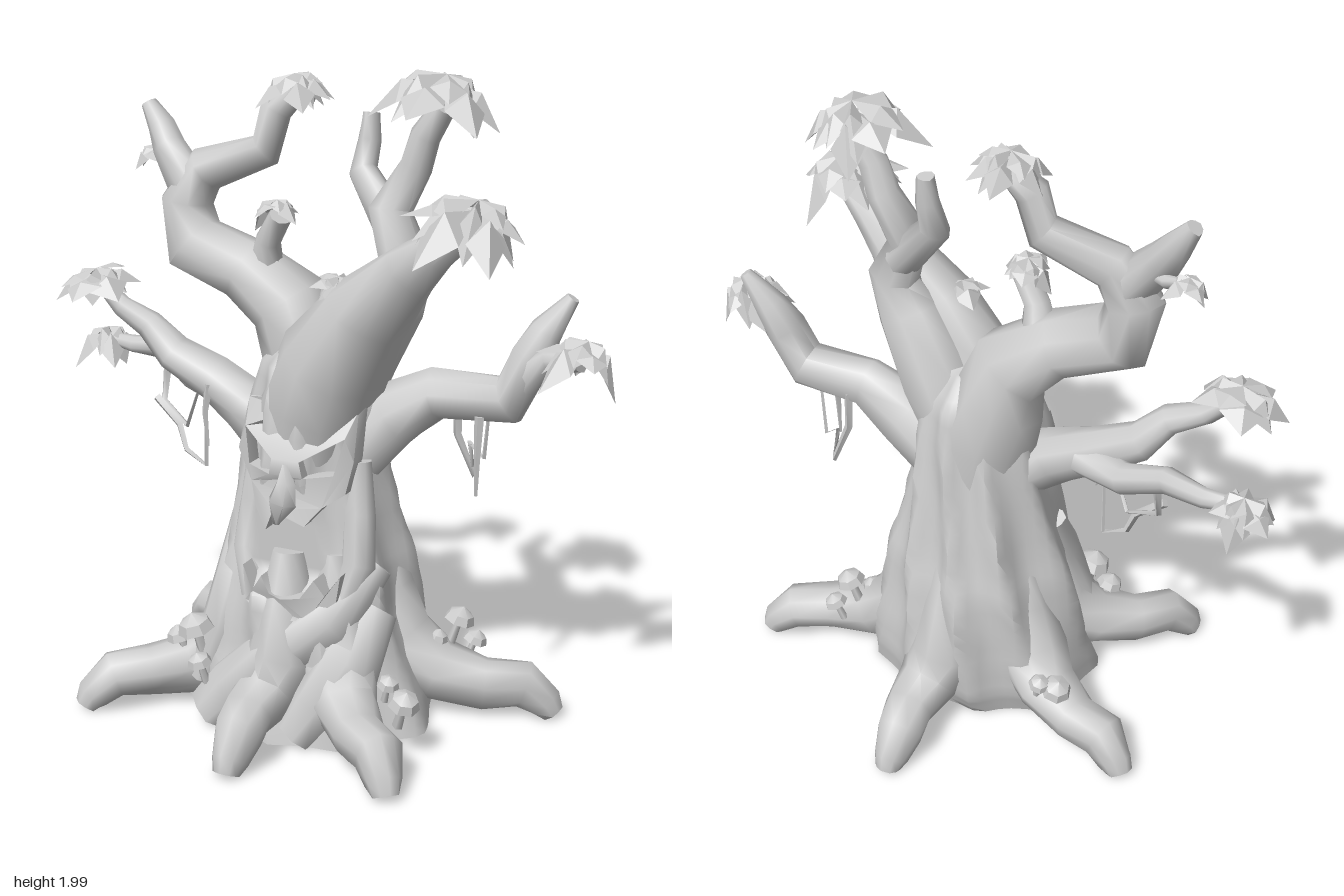
import * as THREE from 'three';
import { toCreasedNormals } from 'three/addons/utils/BufferGeometryUtils.js';

const material = new THREE.MeshStandardMaterial({ color: 0xcccccc });
const thin = new THREE.MeshStandardMaterial({ color: 0xcccccc, side: THREE.DoubleSide });
const V = (x, y, z) => new THREE.Vector3(x, y, z);

function mesh(name, geometry, parent, mat = material) {
  const m = new THREE.Mesh(geometry, mat);
  m.name = name;
  parent.add(m);
  return m;
}

// Closed skin over rings of points, with fan caps at both ends
function loft(rings) {
  const n = rings[0].length, pos = [], idx = [];
  rings.forEach(r => r.forEach(p => pos.push(p.x, p.y, p.z)));
  for (let i = 0; i < rings.length - 1; i++) {
    for (let j = 0; j < n; j++) {
      const a = i * n + j, b = i * n + (j + 1) % n;
      idx.push(a, b, a + n, b, b + n, a + n);
    }
  }
  [0, rings.length - 1].forEach((k, end) => {
    const c = rings[k].reduce((s, p) => s.add(p), V(0, 0, 0)).divideScalar(n);
    const ci = pos.length / 3;
    pos.push(c.x, c.y, c.z);
    for (let j = 0; j < n; j++) {
      const a = k * n + j, b = k * n + (j + 1) % n;
      end ? idx.push(ci, a, b) : idx.push(ci, b, a);
    }
  });
  const g = new THREE.BufferGeometry();
  g.setAttribute('position', new THREE.Float32BufferAttribute(pos, 3));
  g.setIndex(idx);
  return toCreasedNormals(g, 1.15);
}

// Gnarled tapering limb through [x, y, z, radius] points
function limb(points, sides = 9, ref = V(0, 0, 1)) {
  const c = points.map(p => V(p[0], p[1], p[2]));
  return loft(points.map((p, i) => {
    const t = c[Math.min(i + 1, c.length - 1)].clone().sub(c[Math.max(i - 1, 0)]).normalize();
    const u = ref.clone().cross(t).normalize(), v = t.clone().cross(u);
    return Array.from({ length: sides }, (_, j) => {
      const a = j / sides * Math.PI * 2, r = p[3] * (1 + 0.08 * Math.sin(3 * a + i * 1.3));
      const q = c[i].clone().addScaledVector(u, r * Math.cos(a)).addScaledVector(v, r * Math.sin(a));
      q.y = Math.max(q.y, 0.01);
      return q;
    });
  }));
}

// Trunk rows: y, left x, right x, back z, front z
const rows = [
  [0.01, -0.38, 0.40, -0.27, 0.36], [0.1, -0.37, 0.38, -0.31, 0.35], [0.22, -0.35, 0.35, -0.32, 0.32],
  [0.35, -0.335, 0.315, -0.315, 0.31], [0.5, -0.31, 0.30, -0.305, 0.285], [0.6, -0.28, 0.27, -0.28, 0.26],
  [0.8, -0.235, 0.225, -0.245, 0.23], [1.0, -0.20, 0.21, -0.21, 0.21], [1.13, -0.17, 0.18, -0.18, 0.17],
  [1.22, -0.09, 0.1, -0.11, 0.08],
];
function trunk() {
  const rings = [], sides = 54, step = 3;
  for (let k = 0; k <= (rows.length - 1) * step; k++) {
    const i = Math.min(Math.floor(k / step), rows.length - 2), f = k / step - i;
    const [y, x0, x1, z0, z1] = rows[i].map((v, c) => v + (rows[i + 1][c] - v) * f);
    rings.push(Array.from({ length: sides }, (_, j) => {
      const a = j / sides * Math.PI * 2;
      // Twisting bark ridges, strongest at mid height
      const ridge = 1.06 - (0.1 + 0.08 * Math.sin(2.6 * y)) * Math.abs(Math.sin(4.5 * a + 2.4 * y + 0.5 * Math.sin(2 * a)))
        + 0.02 * Math.sin(5 * a - 6 * y);
      const x = (x0 + x1) / 2 + (x1 - x0) / 2 * Math.sin(a) * ridge;
      let z = (z0 + z1) / 2 + (z1 - z0) / 2 * Math.cos(a) * ridge;
      // Hollow of the mouth
      if (z > 0 && y > 0.48 && y < 0.76 && Math.abs(x - 0.02) < 0.16) z = Math.min(z, 0.2);
      return V(x, y, z);
    }));
  }
  return loft(rings);
}

// Flat cut-out bent around the front of the trunk
function bentPlate(outline, holes, depth, zAt) {
  const toPts = list => list.map(p => new THREE.Vector2(p[0], p[1]));
  const shape = new THREE.Shape(toPts(outline));
  holes.forEach(h => shape.holes.push(new THREE.Path(toPts(h))));
  const g = new THREE.ExtrudeGeometry(shape, { depth, bevelEnabled: false, steps: 1 });
  const p = g.attributes.position;
  for (let i = 0; i < p.count; i++) p.setZ(i, p.getZ(i) + zAt(p.getX(i), p.getY(i)));
  return toCreasedNormals(g, 0.8);
}

// Drooping, slightly tilted cluster of broad folded leaves
function crown(parent, x, y, z, r, h, n, seed) {
  const pos = [];
  for (let layer = 0; layer < 2; layer++) {
    for (let i = 0; i < n; i++) {
      const a = (i + layer * 0.5) / n * Math.PI * 2 + seed + 0.25 * Math.sin(i * 5 + seed);
      const len = r * (layer ? 0.8 : 1) * (0.92 + 0.15 * Math.sin(i * 7 + seed));
      const top = h * (layer ? 0.35 : 0.2), w = Math.PI / n * 1.1;
      const drop = h * (0.55 + 0.3 * Math.sin(i * 3 + seed + layer));
      const at = (d, b, yy) => [Math.cos(b) * d * len, yy, Math.sin(b) * d * len];
      const root = [0, top, 0], ridge = at(0.6, a, top * 0.9), tip = at(1, a, top - drop);
      const l = at(0.68, a + w, top - drop * 0.5), q = at(0.68, a - w, top - drop * 0.5);
      pos.push(...root, ...l, ...ridge, ...root, ...ridge, ...q, ...ridge, ...l, ...tip, ...ridge, ...tip, ...q);
    }
  }
  const g = new THREE.BufferGeometry();
  g.setAttribute('position', new THREE.Float32BufferAttribute(pos, 3));
  g.computeVertexNormals();
  const m = mesh('leafCluster', g, parent, thin);
  m.position.set(x, y, z);
  m.rotation.set(0.15 * Math.sin(seed * 2), 0, -0.15 * Math.sign(x));
}

function mushroom(parent, x, y, z, r) {
  const g = new THREE.Group();
  g.name = 'mushroom';
  mesh('mushroomStem', new THREE.CylinderGeometry(r * 0.25, r * 0.35, r * 2, 5), g).position.y = -r * 0.9;
  const profile = [[0, 0], [1, -0.15], [0.8, 0.4], [0, 0.85]].map(p => new THREE.Vector2(p[0] * r, p[1] * r));
  mesh('mushroomCap', toCreasedNormals(new THREE.LatheGeometry(profile, 7), 0.6), g);
  g.position.set(x, y, z);
  g.rotation.set(z * 0.7, 0, -x * 0.7);
  parent.add(g);
}

export function createModel() {
  const tree = new THREE.Group();
  tree.name = 'hauntedTree';
  mesh('trunk', trunk(), tree);

  // Roots running down the trunk and out along the ground: tip x, tip z
  [[-0.62, 0.41], [-0.01, 0.6], [0.46, 0.51], [0.73, -0.18], [0.06, -0.61], [-0.62, -0.32]].forEach(([x, z]) => {
    const l = Math.hypot(x, z), side = V(-z / l, 0, x / l);
    const at = (d, y, r, s = 0) => [x / l * d + side.x * s, y, z / l * d + side.z * s, r];
    mesh('root', limb([at(0.2, 0.58, 0.05), at(0.21, 0.42, 0.09), at(0.25, 0.24, 0.12), at(0.52 * l, 0.14, 0.1, 0.02),
      at(0.72 * l, 0.115, 0.08, 0.025), at(0.88 * l, 0.115, 0.075), at(0.97 * l, 0.055, 0.055), at(l, 0.02, 0.04)], 9, side), tree);
  });

  // Twisted roots winding down the front
  [[[0.25, 0.54, 0.1, 0.05], [0.14, 0.38, 0.21, 0.09], [-0.02, 0.25, 0.25, 0.1], [-0.15, 0.12, 0.27, 0.1], [-0.23, 0.03, 0.29, 0.08]],
    [[0.25, 0.4, 0.11, 0.07], [0.2, 0.25, 0.21, 0.1], [0.13, 0.12, 0.27, 0.1], [0.07, 0.03, 0.31, 0.08]],
    [[-0.22, 0.64, 0.06, 0.04], [-0.21, 0.45, 0.15, 0.07], [-0.24, 0.28, 0.19, 0.08], [-0.3, 0.12, 0.21, 0.08]],
  ].forEach(pts => mesh('twistedRoot', limb(pts), tree));

  // Branches as [x, y, z, radius]
  const branches = {
    rightMainBranch: [[-0.01, 0.8, -0.06, 0.13], [-0.04, 1.0, -0.06, 0.15], [-0.08, 1.14, -0.05, 0.14], [-0.13, 1.28, -0.05, 0.125],
      [-0.27, 1.38, -0.05, 0.1], [-0.45, 1.45, -0.05, 0.105], [-0.48, 1.58, -0.05, 0.085], [-0.42, 1.68, -0.06, 0.07],
      [-0.22, 1.75, -0.08, 0.055], [-0.19, 1.87, -0.1, 0.05], [-0.12, 1.92, -0.1, 0.035]],
    rightUpperTwig: [[-0.46, 1.62, -0.05, 0.07], [-0.56, 1.74, -0.08, 0.055], [-0.6, 1.8, -0.1, 0.045], [-0.65, 1.87, -0.11, 0.025]],
    rightLeafTwig: [[-0.53, 1.7, -0.07, 0.03], [-0.59, 1.7, -0.12, 0.02], [-0.64, 1.72, -0.14, 0.012]],
    rightStub: [[-0.2, 1.38, -0.05, 0.06], [-0.18, 1.48, -0.02, 0.04], [-0.13, 1.56, 0, 0.035]],
    leftMainBranch: [[0, 0.82, 0.05, 0.14], [0.02, 1.0, 0.06, 0.175], [0.08, 1.14, 0.075, 0.17], [0.2, 1.32, 0.1, 0.13],
      [0.35, 1.46, 0.13, 0.085], [0.45, 1.53, 0.18, 0.06], [0.56, 1.6, 0.22, 0.035]],
    leftUpperBranch: [[0.06, 0.95, -0.05, 0.1], [0.13, 1.15, -0.03, 0.12], [0.24, 1.33, 0.01, 0.1], [0.29, 1.45, 0.02, 0.08],
      [0.22, 1.6, -0.03, 0.065], [0.3, 1.73, -0.03, 0.05], [0.33, 1.82, -0.02, 0.045], [0.38, 1.9, -0.02, 0.035]],
    leftUpperTwig: [[0.24, 1.54, -0.03, 0.06], [0.1, 1.7, -0.1, 0.045], [0.11, 1.79, -0.12, 0.035], [0.11, 1.87, -0.13, 0.025]],
    leftSideBranch: [[0.1, 0.85, -0.02, 0.12], [0.25, 0.98, -0.03, 0.1], [0.38, 1.06, -0.03, 0.08],
      [0.6, 1.07, -0.03, 0.075], [0.66, 1.2, -0.05, 0.065], [0.7, 1.28, -0.06, 0.05], [0.77, 1.38, -0.07, 0.02]],
    leftSideTwig: [[0.64, 1.13, -0.04, 0.055], [0.73, 1.21, 0, 0.035], [0.83, 1.22, 0.03, 0.03]],
    rightSideBranch: [[-0.1, 0.85, 0, 0.11], [-0.25, 0.95, -0.01, 0.09], [-0.38, 1.02, -0.02, 0.075],
      [-0.52, 1.09, -0.01, 0.06], [-0.6, 1.18, 0, 0.045], [-0.7, 1.23, 0, 0.035], [-0.78, 1.3, 0, 0.025]],
    rightSideTwig: [[-0.36, 1, -0.04, 0.065], [-0.5, 1.0, -0.1, 0.05], [-0.64, 1.07, -0.14, 0.04],
      [-0.76, 1.06, -0.16, 0.03], [-0.86, 1.07, -0.17, 0.02]],
  };
  Object.entries(branches).forEach(([name, pts]) => mesh(name, limb(pts), tree));

  // Leaf clusters: x, y, z, radius, height, leaves
  [[0.38, 1.93, -0.02, 0.2, 0.19, 7], [0.57, 1.62, 0.22, 0.2, 0.19, 7], [-0.12, 1.93, -0.1, 0.14, 0.14, 6],
    [0.84, 1.23, 0.04, 0.13, 0.16, 6], [-0.79, 1.31, 0, 0.15, 0.11, 5], [-0.87, 1.06, -0.17, 0.12, 0.14, 5],
    [-0.65, 1.71, -0.14, 0.085, 0.08, 4], [-0.14, 1.58, 0, 0.085, 0.09, 5], [0.11, 1.39, 0.1, 0.08, 0.08, 4],
  ].forEach((c, i) => crown(tree, ...c, i * 1.7));

  // Face: scowling mask with slanted eye holes, nose and jagged lower lip
  const face = new THREE.Group();
  face.name = 'face';
  tree.add(face);
  const bend = (x, y) => 0.19 - 2.2 * (x - 0.01) ** 2 - 0.8 * Math.max(0, y - 0.94);
  mesh('browMask', bentPlate(
    [[-0.18, 1.02], [-0.19, 0.87], [-0.12, 0.79], [-0.1, 0.71], [-0.06, 0.65], [-0.03, 0.72], [0.02, 0.7], [0.07, 0.68],
      [0.12, 0.74], [0.18, 0.78], [0.2, 0.88], [0.19, 1.02], [0.1, 1.04], [0.01, 1.02], [-0.09, 1.04]],
    [[[-0.155, 0.95], [-0.035, 0.88], [-0.045, 0.83], [-0.13, 0.84]], [[0.055, 0.88], [0.175, 0.95], [0.15, 0.84], [0.065, 0.83]]],
    0.065, bend), face);
  mesh('nose', limb([[0.01, 0.87, 0.235, 0.015], [0.01, 0.81, 0.245, 0.03], [0, 0.75, 0.25, 0.045], [-0.02, 0.68, 0.255, 0.012]], 6), face);
  mesh('lowerLip', bentPlate(
    [[-0.13, 0.53], [-0.12, 0.42], [-0.03, 0.38], [0.1, 0.4], [0.18, 0.46], [0.19, 0.54], [0.15, 0.48], [0.12, 0.53],
      [0.08, 0.47], [0.02, 0.46], [-0.02, 0.47], [-0.05, 0.52], [-0.09, 0.46]],
    [], 0.07, x => 0.235 - 2 * (x - 0.02) ** 2), face);
  [-1, 1].forEach(s => mesh('cheekRidge', limb([[0.02 + s * 0.16, 0.86, 0.1, 0.045], [0.02 + s * 0.175, 0.7, 0.12, 0.05],
    [0.02 + s * 0.185, 0.55, 0.15, 0.055], [0.02 + s * 0.14, 0.4, 0.2, 0.05]]), face));

  // Hanging vines
  [[[-0.62, 0.92, -0.06], [-0.53, 0.84, -0.05], [-0.5, 0.76, -0.04], [-0.42, 0.72, -0.03], [-0.41, 1.02, -0.02]],
    [[-0.6, 1.02, -0.1], [-0.61, 0.9, -0.09], [-0.5, 0.84, -0.05], [-0.42, 1.0, 0]],
    [[-0.36, 1.02, 0.05], [-0.37, 0.93, 0.06], [-0.36, 0.82, 0.06]],
    [[0.42, 1.04, -0.09], [0.42, 0.92, -0.1], [0.47, 0.79, -0.12], [0.46, 0.9, -0.1], [0.51, 0.86, -0.09], [0.53, 1.03, -0.07]],
    [[0.53, 1.02, 0.02], [0.53, 0.9, 0.03], [0.53, 0.78, 0.03]],
  ].forEach(pts => mesh('vine', limb(pts.map((p, i) => [...p, 0.015 - 0.01 * i / (pts.length - 1)]), 4), tree));

  // Mushrooms on the roots
  [[0.43, 0.3, -0.14, 0.05], [0.38, 0.25, -0.08, 0.035], [0.47, 0.22, -0.18, 0.04], [-0.29, 0.3, 0.28, 0.06],
    [-0.36, 0.25, 0.26, 0.045], [-0.25, 0.21, 0.33, 0.04], [-0.38, 0.25, -0.28, 0.05], [-0.33, 0.27, -0.3, 0.035],
    [0.42, 0.2, 0.29, 0.05], [0.36, 0.24, 0.27, 0.035]].forEach(m => mushroom(tree, ...m));

  return tree;
}
